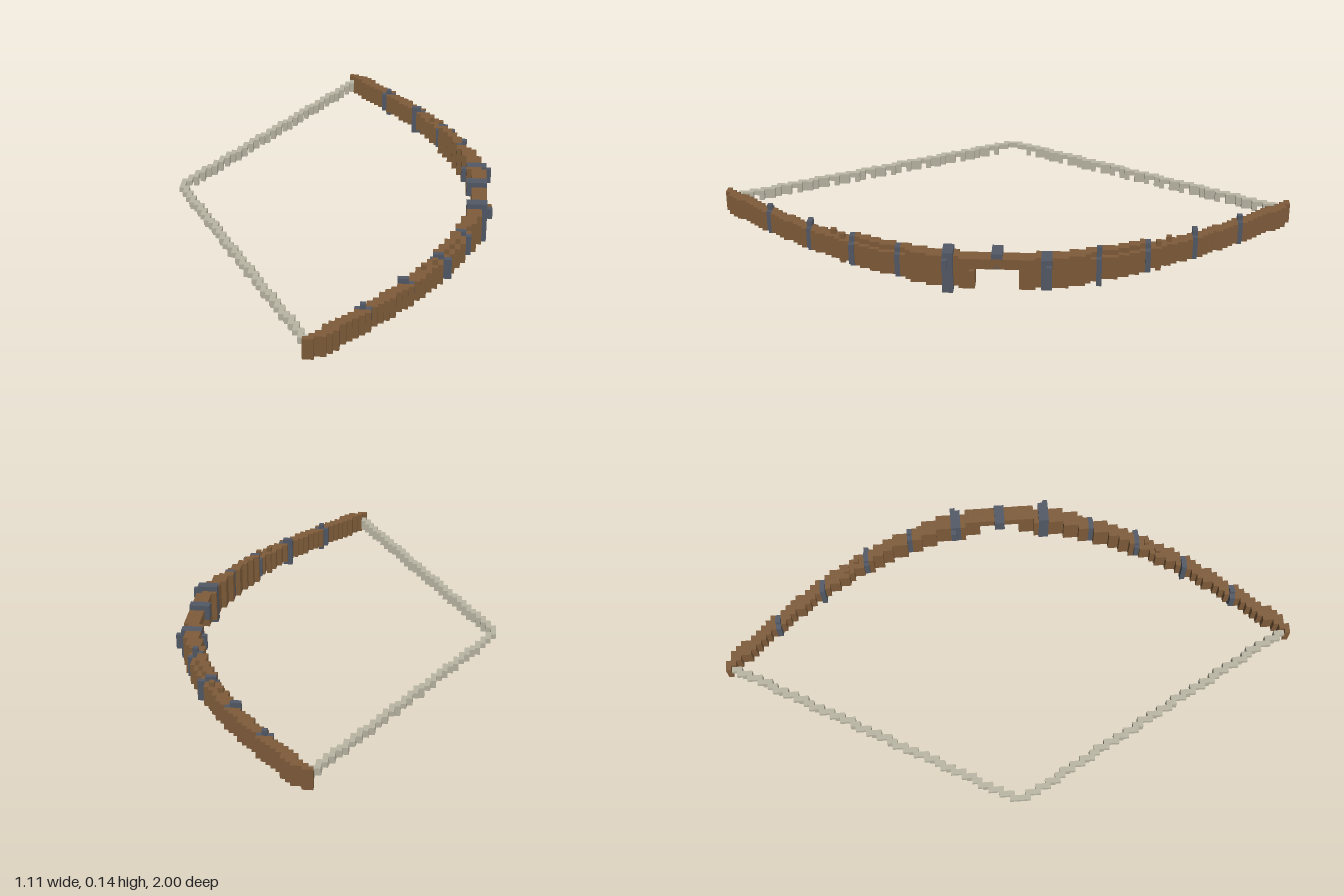
import * as THREE from 'three';
import { mergeGeometries } from 'three/addons/utils/BufferGeometryUtils.js';

const V = 1 / 56; // size of one block

export function createModel() {
  const model = new THREE.Group();
  const wood = new THREE.MeshStandardMaterial({ color: 0x7f5c3a });
  wood.name = 'brown wood';
  const metal = new THREE.MeshStandardMaterial({ color: 0x535a67 });
  metal.name = 'slate metal';
  const cord = new THREE.MeshStandardMaterial({ color: 0xbab6a4 });
  cord.name = 'pale cord';

  // A box given by its block limits
  const block = (x0, x1, y0, y1, z0, z1) =>
    new THREE.BoxGeometry((x1 - x0) * V, (y1 - y0) * V, (z1 - z0) * V)
      .translate((x0 + x1) / 2 * V, (y0 + y1) / 2 * V, (z0 + z1) / 2 * V);
  const add = (name, boxes, material) => {
    const mesh = new THREE.Mesh(mergeGeometries(boxes), material);
    mesh.name = name;
    model.add(mesh);
  };

  // Inner edge of the bow in each row, counted from the middle
  const inner = (j) => {
    const t = (j + 0.5) / 56;
    return Math.round(28.5 * (1 - t * t) - 7 * t ** 3 * (1 - t) - 1.5);
  };

  for (const s of [1, -1]) {
    const side = s > 0 ? 'front' : 'back';
    const limb = [], bands = [], string = [];
    const put = (list, x0, x1, y0, y1, j0, j1) =>
      list.push(block(x0, x1, y0, y1, s > 0 ? j0 : -j1, s > 0 ? j1 : -j0));

    for (let j = 0; j < 56; j++) {
      const x = inner(j);
      const banded = [8, 9, 18, 27, 36, 45].includes(j);
      const list = banded ? bands : limb;
      if (j === 55) put(list, -1, 1, 2, 6, j, j + 1);
      else if (j < 4) put(list, x, x + 3, 5, 7, j, j + 1);           // arched opening
      else if (j < 17) put(list, x, x + 3, 1, 7, j, j + 1);          // grip
      else if (j < 28) {                                             // thick limb
        put(list, x, x + 3, 2, 6, j, j + 1);
        put(list, x, x + 2, 1, 7, j, j + 1);
      } else put(list, x, x + 3, 2, 6, j, j + 1);                    // slim limb
      if (j === 29 || j === 31) put(limb, x + 1, x + 2, 1, 7, j, j + 1);
    }

    // Raised bands
    put(bands, inner(36), inner(36) + 2, 1, 7, 36, 37);
    put(bands, inner(45) + 1, inner(45) + 2, 1, 7, 45, 46);
    put(bands, inner(27) - 0.5, inner(27) + 3.5, 2, 6, 27, 28);
    if (s > 0) {
      put(bands, 26, 30, 0, 8, 8, 10);
      put(bands, 30, 31, 5, 7, 9, 10);
      put(limb, 30, 31, 3, 5, 4, 5);
    } else {
      put(bands, 26, 30, 1, 7, 8, 10);
      put(bands, 25, 31, 3, 6, 9, 10);
      put(bands, 25, 26, 0, 8, 18, 19);
    }

    // Stepped string
    for (let k = 0; k < 31; k++) {
      const z0 = Math.floor(k * 55 / 31), z1 = Math.ceil((k + 1) * 55 / 31);
      put(string, k - 31, k - 30, 4, 5, z0, z1);
      if (k > 1) put(string, k - 31, k - 30, 3, 4, z0, z0 + 1 + (k % 2));
    }
    add(side + 'Limb', limb, wood);
    add(side + 'Bands', bands, metal);
    add(side + 'String', string, cord);
  }

  // Clasp over the middle
  add('centreClasp', [block(26, 30, 5, 8, -1, 1)], metal);
  return model;
}
